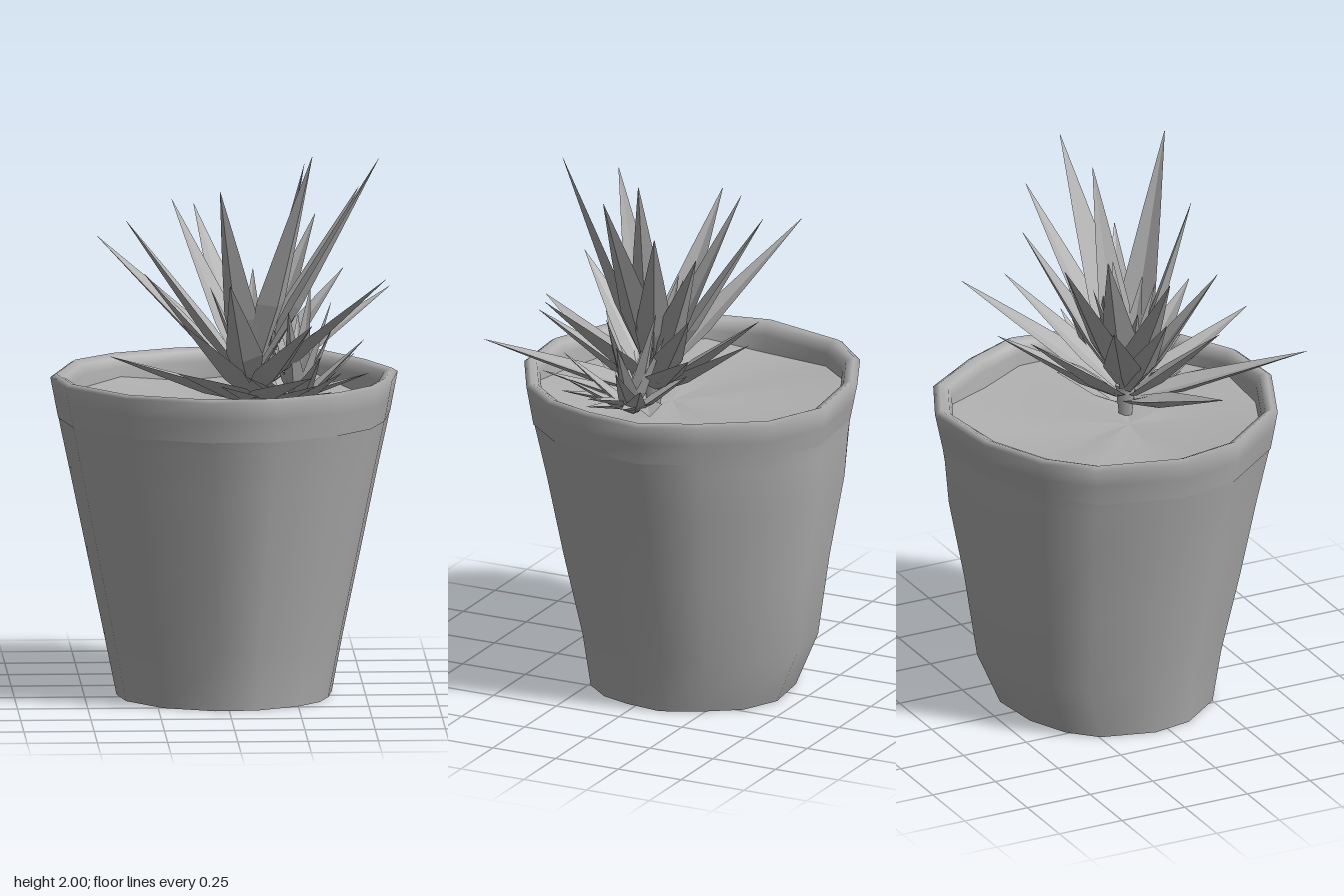
import * as THREE from 'three';

const grey = new THREE.MeshStandardMaterial({ color: 0xb0b0b0, side: THREE.DoubleSide });
grey.name = 'plain grey';

// Irregular rim outline, as x, z pairs
const OUTLINE = [
  [0.16, -0.655], [0.38, -0.55], [0.53, -0.33], [0.62, -0.13], [0.59, 0.09],
  [0.53, 0.27], [0.4, 0.42], [0.16, 0.55], [-0.08, 0.565], [-0.375, 0.44],
  [-0.575, 0.185], [-0.62, -0.05], [-0.535, -0.365], [-0.39, -0.51], [-0.15, -0.62],
];

// Skin over scaled copies of the outline; each ring is [scale, height, z offset, z stretch]
function loft(name, rings, ripple = () => 0) {
  const n = OUTLINE.length, pos = [], index = [];
  rings.forEach(([s, y, dz = 0, kz = 1]) => OUTLINE.forEach(([x, z], j) =>
    pos.push(x * s, y + ripple(s, j), z * s * kz + dz)));
  for (let i = 0; i < rings.length - 1; i++) {
    for (let j = 0; j < n; j++) {
      const a = i * n + j, b = i * n + (j + 1) % n, c = a + n, d = b + n;
      index.push(a, c, b, b, c, d);
    }
  }
  const geo = new THREE.BufferGeometry();
  geo.setAttribute('position', new THREE.Float32BufferAttribute(pos, 3));
  geo.setIndex(index);
  geo.computeVertexNormals();
  const mesh = new THREE.Mesh(geo, grey);
  mesh.name = name;
  return mesh;
}

// Faceted spike with a channel on top and a keel below, widest near its root
function leaf(root, tip, width) {
  const a = new THREE.Vector3(...root), b = new THREE.Vector3(...tip);
  const dir = b.clone().sub(a).normalize();
  const side = new THREE.Vector3(dir.z, 0, -dir.x).normalize();
  const up = new THREE.Vector3().crossVectors(dir, side).normalize();
  const section = (t, w) => [[-0.5, 0.08], [0, -0.22], [0.5, 0.08], [0, -0.04]].map(([u, v]) =>
    a.clone().lerp(b, t).addScaledVector(side, u * w).addScaledVector(up, v * w));
  const rings = [section(0, width * 0.55), section(0.28, width), section(0.65, width * 0.52), section(1, 0.002)];
  const tris = [];
  for (let i = 0; i < 3; i++) {
    for (let j = 0; j < 4; j++) {
      const k = (j + 1) % 4, p = rings[i], q = rings[i + 1];
      tris.push(p[j], p[k], q[j], p[k], q[k], q[j]);
    }
  }
  const geo = new THREE.BufferGeometry().setFromPoints(tris);
  geo.computeVertexNormals();
  const mesh = new THREE.Mesh(geo, grey);
  mesh.name = 'leaf';
  return mesh;
}

// Leaf tips of the main rosette
const TIPS = [
  [0.295, 1.995, 0.33], [0.545, 1.94, 0.04], [-0.03, 1.86, 0.27], [-0.185, 1.77, -0.14],
  [-0.355, 1.72, 0.02], [-0.1, 1.73, -0.27], [-0.445, 1.62, -0.25], [0.33, 1.7, -0.22],
  [0.56, 1.54, 0.265], [0.6, 1.42, -0.325], [-0.42, 1.26, 0.2], [-0.2, 1.27, 0.645],
  [0.28, 1.25, 0.65], [0.22, 1.37, -0.375], [0.43, 1.5, -0.24], [0.05, 1.4, -0.33],
  [-0.165, 1.39, 0.315], [0.29, 1.4, 0.425], [-0.29, 1.53, 0.04], [0, 1.54, 0.39],
  [0.48, 1.81, -0.13], [0.28, 1.92, 0.035],
];

export function createModel() {
  const model = new THREE.Group();
  model.name = 'pottedSucculent';

  // Pot wall with its base, and the rolled rim
  const pot = new THREE.Group();
  pot.name = 'pot';
  pot.add(loft('base', [[0, 0.01, -0.02], [0.51, 0.01, -0.02]]));
  pot.add(loft('foot', [[0.51, 0.01, -0.02], [0.62, 0, -0.02]]));
  pot.add(loft('wall', [[0.62, 0, -0.02], [0.685, 0.2, -0.042, 1.05], [0.785, 0.5, -0.025, 1.03],
    [0.885, 0.8, -0.018, 1.02], [0.94, 0.96, -0.005], [0.965, 1.04]]));
  pot.add(loft('rim', [[0.955, 1.0], [0.98, 1.08], [1, 1.145], [0.965, 1.158],
    [0.92, 1.145], [0.9, 1.11], [0.89, 0.98]]));
  model.add(pot);

  // Uneven soil, slightly sunken around the plant
  model.add(loft('soil', [[0.93, 1.065], [0.7, 1.05], [0.4, 1.035, 0.02], [0, 1.03, 0.04]],
    (s, j) => 0.02 * s * Math.sin(j * 2.1)));

  // Main rosette; steeper leaves start higher on the stem
  const rosette = new THREE.Group();
  rosette.name = 'mainRosette';
  TIPS.forEach(([x, y, z]) => {
    const dx = x - 0.09, dz = z - 0.07, r = Math.hypot(dx, dz);
    const root = [0.09 + dx / r * 0.03, 1.09 + 0.18 * Math.max(0, y - 1.25), 0.07 + dz / r * 0.03];
    rosette.add(leaf(root, [x, y, z], 0.135));
  });
  // Young leaves in the heart
  for (let i = 0; i < 5; i++) {
    const a = i * 2.4, r = 0.1 + 0.012 * i;
    rosette.add(leaf([0.09, 1.15, 0.07],
      [0.09 + r * Math.cos(a), 1.58 - 0.025 * i, 0.07 + r * Math.sin(a)], 0.09));
  }
  const stem = new THREE.Mesh(new THREE.CylinderGeometry(0.04, 0.025, 0.13, 6), grey);
  stem.name = 'stem';
  stem.position.set(0.09, 1.08, 0.07);
  rosette.add(stem);
  model.add(rosette);

  // Side shoot of short leaves in two tiers
  const shoot = new THREE.Group();
  shoot.name = 'sideShoot';
  for (let i = 0; i < 14; i++) {
    const a = i * 2.4, low = i % 2, r = low ? 0.25 : 0.13;
    shoot.add(leaf([0.25, 1.06, 0.07],
      [0.25 + r * Math.cos(a), low ? 1.18 + 0.008 * i : 1.34 + 0.012 * i, 0.07 + r * Math.sin(a)], 0.075));
  }
  model.add(shoot);

  // Low leaves resting close to the soil
  const lowLeaves = new THREE.Group();
  lowLeaves.name = 'lowLeaves';
  for (let i = 0; i < 9; i++) {
    const a = -0.5 + i * 0.32, r = 0.27 + 0.05 * (i % 3);
    lowLeaves.add(leaf([0.14, 1.06, 0.07],
      [0.14 + r * Math.cos(a), 1.1 + 0.04 * (i % 3), 0.07 + r * Math.sin(a)], 0.1));
  }
  model.add(lowLeaves);
  return model;
}
